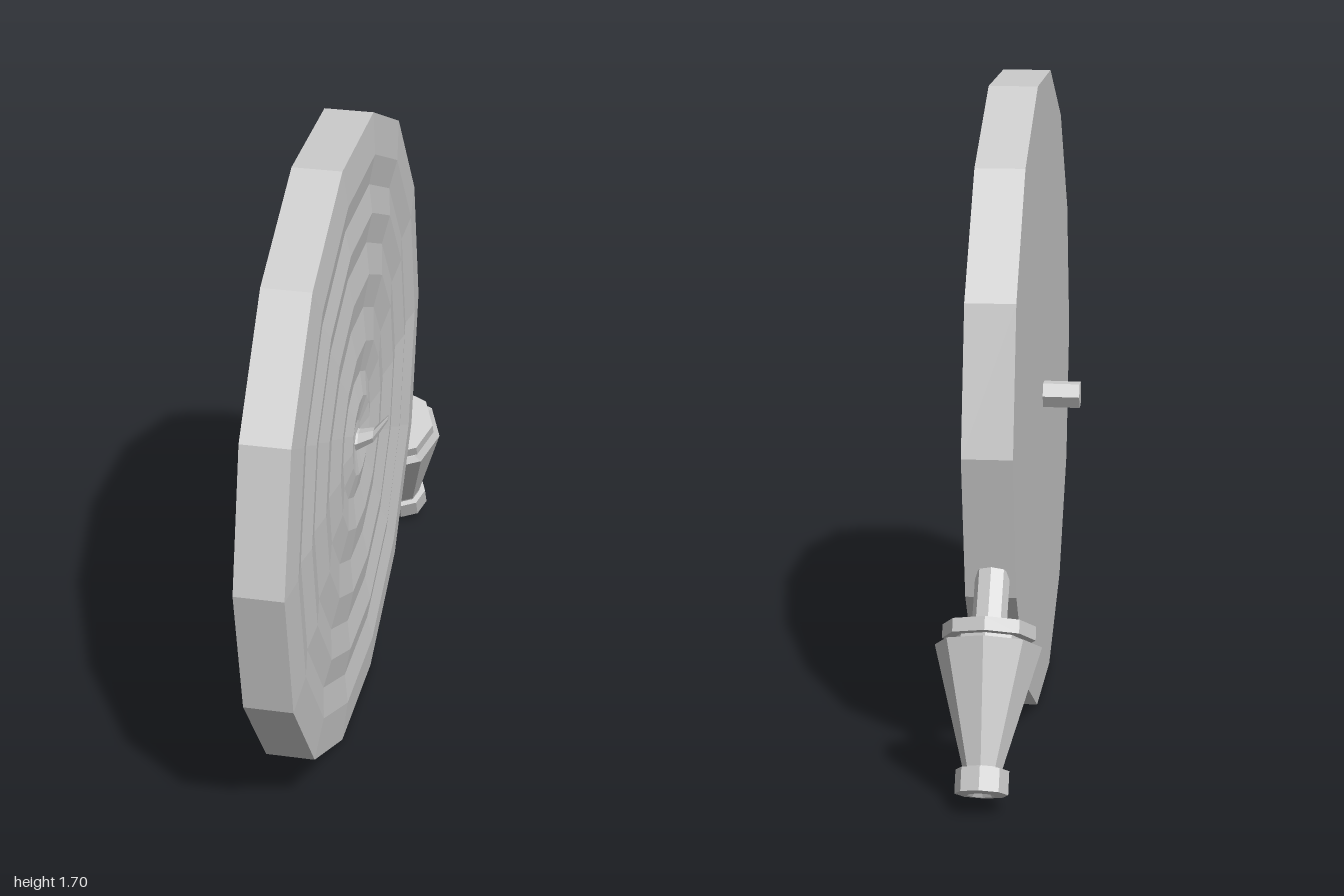
import * as THREE from 'three';

const material = new THREE.MeshStandardMaterial({ color: 0xcccccc, flatShading: true });

// Faceted mesh with a plain name
function part(name, geometry) {
  const flat = geometry.toNonIndexed();
  flat.computeVertexNormals();
  const mesh = new THREE.Mesh(flat, material);
  mesh.name = name;
  return mesh;
}

function lathe(name, points, sides) {
  return part(name, new THREE.LatheGeometry(points.map(([r, y]) => new THREE.Vector2(r, y)), sides));
}

export function createModel() {
  const model = new THREE.Group();
  model.name = 'ridgedDisc';
  const centreY = 0.85, centreZ = 0.13;

  // Disc: flat back on -x, concentric ridges on +x
  const profile = [[0, -0.06], [0.87, -0.06], [0.87, 0.07]];
  [0.76, 0.68, 0.605, 0.525, 0.44, 0.35, 0.26, 0.175, 0.11, 0.04].forEach((r, i) => {
    profile.push([r, i % 2 ? 0.068 : 0.08]);
  });
  profile.push([0, 0.07]);
  const disc = lathe('disc', profile, 14);
  disc.rotation.z = -Math.PI / 2;
  disc.position.set(0, centreY, centreZ);
  model.add(disc);

  // Axle: straight peg behind, tapered hook curving upward in front
  const rings = [ // x, y, radius, from the hook tip to the back end
    [0.153, 0.91, 0.008], [0.115, 0.855, 0.02], [0.075, 0.837, 0.028],
    [0.05, 0.832, 0.038], [-0.16, 0.83, 0.038],
  ];
  const axleGeometry = new THREE.CylinderGeometry(1, 1, 1, 6, rings.length - 1);
  const pos = axleGeometry.attributes.position;
  for (let i = 0; i < pos.count; i++) {
    const [x, y, r] = rings[Math.round((0.5 - pos.getY(i)) * (rings.length - 1))];
    pos.setXYZ(i, x, y - r * pos.getX(i), centreZ + r * pos.getZ(i));
  }
  model.add(part('axleHook', axleGeometry));

  // Handle: neck, collar, tapered grip and hollow end cap along one axis
  const handle = new THREE.Group();
  handle.name = 'handle';
  handle.position.set(0, 0.476, -0.709);
  handle.rotation.x = Math.PI + 0.489;
  handle.add(lathe('collar', [[0, 0.06], [0.118, 0.06], [0.118, 0.095], [0.09, 0.095], [0.09, 0.14]], 8));
  handle.add(lathe('grip', [[0, 0.13], [0.1, 0.125], [0.135, 0.112], [0.05, 0.42], [0.05, 0.43]], 8));
  handle.add(lathe('endCap', [[0, 0.425], [0.067, 0.425], [0.067, 0.485], [0.035, 0.488], [0, 0.45]], 8));
  model.add(handle);

  // Stem joining the handle to the disc rim
  const from = new THREE.Vector3(0, 0.535, -0.655), to = new THREE.Vector3(0, 0.41, -0.75);
  const stem = part('stem', new THREE.CylinderGeometry(0.044, 0.044, from.distanceTo(to), 8));
  stem.position.copy(from).add(to).multiplyScalar(0.5);
  stem.quaternion.setFromUnitVectors(new THREE.Vector3(0, 1, 0), from.clone().sub(to).normalize());
  model.add(stem);

  return model;
}
